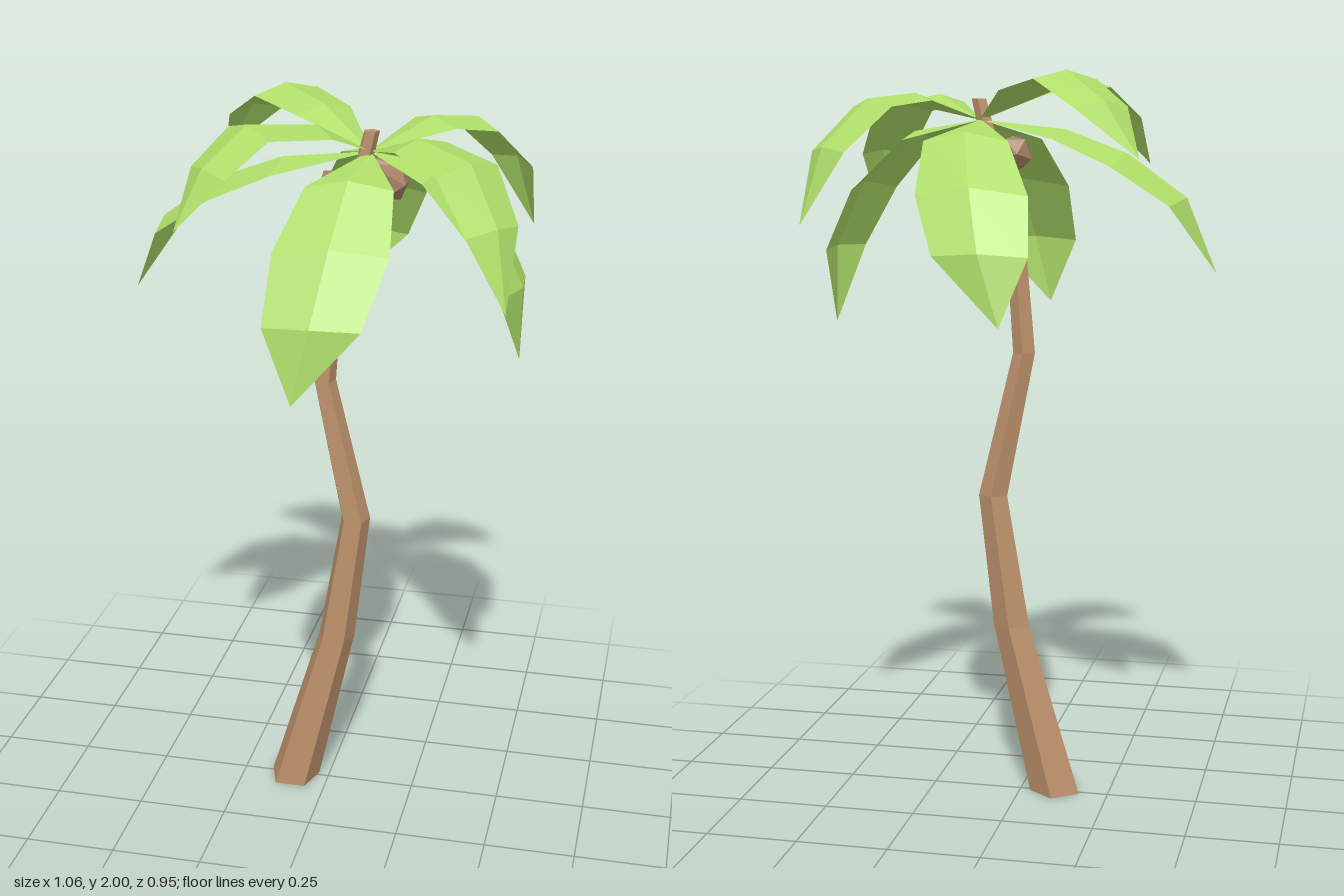
import * as THREE from 'three';

const flat = (name, color, side = THREE.FrontSide) => {
  const m = new THREE.MeshStandardMaterial({ color, flatShading: true, side });
  m.name = name;
  return m;
};

// Five-sided trunk, open at the foot: each ring is [x, y, radius]
function trunkGeometry() {
  const rings = [
    [-0.1, 0, 0.0735], [0.025, 0.48, 0.053], [0.078, 0.85, 0.042], [-0.009, 1.25, 0.032],
    [0.01, 1.5, 0.029], [0.07, 1.75, 0.026], [0.115, 1.93, 0.021], [0.115, 1.93, 0.0005],
  ];
  const n = rings.length - 1;
  const geo = new THREE.CylinderGeometry(1, 1, 1, 5, n, true).rotateY(Math.PI);
  const p = geo.attributes.position;
  for (let i = 0; i < p.count; i++) {
    const [x, y, r] = rings[Math.round((p.getY(i) + 0.5) * n)];
    p.setXYZ(i, x + p.getX(i) * r, y, 0.01 + p.getZ(i) * r);
  }
  geo.computeVertexNormals();
  return geo;
}

// Leaf: a raised midrib with lowered edges, set square to its heading [x, z]
function leafGeometry(rib, halfWidths, heading) {
  const pts = rib.map((p) => new THREE.Vector3(...p));
  const last = pts.length - 1;
  const side = new THREE.Vector3(-heading[1], 0, heading[0]).normalize();
  const pos = [];
  const index = [];
  pts.forEach((p, i) => {
    const along = pts[Math.min(i + 1, last)].clone().sub(pts[Math.max(i - 1, 0)]).normalize();
    const normal = side.clone().cross(along).normalize();
    const w = halfWidths[i];
    for (const s of [-1, 0, 1]) {
      const v = p.clone().addScaledVector(side, s * w).addScaledVector(normal, (s ? -0.18 : 0.05) * w);
      pos.push(v.x, v.y, v.z);
    }
    if (i === last) return;
    for (let k = 0; k < 2; k++) {
      const a = i * 3 + k;
      index.push(a, a + 1, a + 3, a + 1, a + 4, a + 3);
    }
  });
  const geo = new THREE.BufferGeometry();
  geo.setAttribute('position', new THREE.Float32BufferAttribute(pos, 3));
  geo.setIndex(index);
  geo.computeVertexNormals();
  return geo;
}

export function createModel() {
  const bark = flat('bark brown', 0xbd916b, THREE.DoubleSide);
  const husk = flat('husk brown', 0xa88067);
  const green = flat('leaf green', 0xaede69, THREE.DoubleSide);

  const tree = new THREE.Group();
  tree.name = 'palmTree';
  const add = (name, geo, mat) => {
    const mesh = new THREE.Mesh(geo, mat);
    mesh.name = name;
    tree.add(mesh);
    return mesh;
  };

  add('trunk', trunkGeometry(), bark);

  const root = [0.11, 1.875, 0];
  const addLeaves = (leaves, widths) => {
    for (const [name, heading, ...rib] of leaves) {
      add(name, leafGeometry([root, ...rib], widths, heading), green);
    }
  };

  // Wide, low leaves along the axes
  addLeaves([
    ['leftLeaf', [0.99, 0.15], [0.29, 1.84, 0], [0.43, 1.705, 0.005], [0.507, 1.535, -0.014], [0.507, 1.33, -0.045]],
    ['rightLeaf', [-1, -0.08], [-0.12, 1.845, 0], [-0.29, 1.78, -0.008], [-0.445, 1.67, -0.014], [-0.53, 1.475, -0.005]],
    ['frontLeaf', [0.04, 1], [0.095, 1.84, 0.2], [0.078, 1.705, 0.345], [0.052, 1.535, 0.448], [0.01, 1.345, 0.472]],
    ['backLeaf', [0, -1], [0.1, 1.84, -0.22], [0.055, 1.705, -0.36], [0.012, 1.55, -0.455], [-0.045, 1.37, -0.475]],
  ], [0.003, 0.112, 0.146, 0.123, 0]);

  // Narrower, arching leaves on the diagonals
  addLeaves([
    ['frontLeftLeaf', [0.81, 0.59], [0.26, 1.94, 0.14], [0.405, 1.915, 0.27], [0.485, 1.785, 0.361], [0.522, 1.6, 0.43]],
    ['backLeftLeaf', [1, -1], [0.25, 1.94, -0.145], [0.35, 1.925, -0.23], [0.446, 1.805, -0.323], [0.497, 1.61, -0.372]],
    ['frontRightLeaf', [-0.74, 0.68], [0, 1.96, 0.13], [-0.145, 1.98, 0.26], [-0.232, 1.89, 0.348], [-0.29, 1.75, 0.42]],
    ['backRightLeaf', [-0.76, -0.65], [-0.035, 1.965, -0.11], [-0.163, 1.995, -0.213], [-0.27, 1.92, -0.288], [-0.37, 1.78, -0.34]],
  ], [0.003, 0.09, 0.104, 0.09, 0]);

  // Nuts clustered under the crown
  const nuts = [[0.165, 1.8, 0.01], [0.12, 1.8, -0.075], [0.025, 1.785, 0.03], [0.1, 1.775, 0.075]];
  nuts.forEach((at, i) => {
    const nut = add('coconut', new THREE.IcosahedronGeometry(0.052, 0), husk);
    nut.position.set(...at);
    nut.rotation.set(i, i * 2, 0);
  });

  return tree;
}
